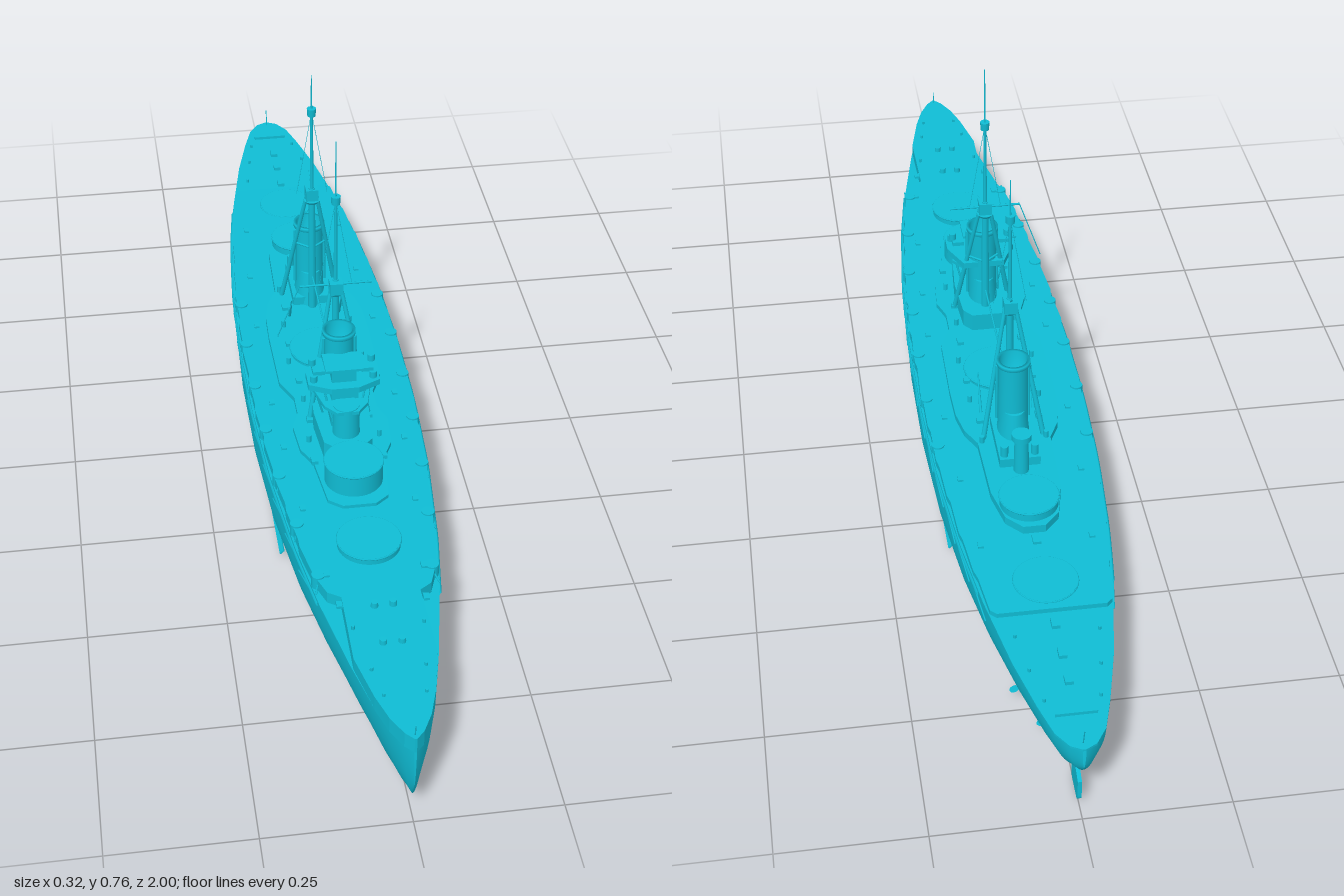
import * as THREE from 'three';

const mat = new THREE.MeshStandardMaterial({ color: 0x0fbcd4, side: THREE.DoubleSide });
const V = (x, y, z) => new THREE.Vector3(x, y, z);

// hull stations: z, half beam, keel height, section fullness
const STATIONS = [
  [1, 0.002, 0.085, 1.6], [0.985, 0.016, 0.05, 1.6], [0.95, 0.034, 0.034, 1.6], [0.9, 0.05, 0.022, 1.7],
  [0.8, 0.074, 0.014, 1.9], [0.65, 0.104, 0.006, 2.3], [0.5, 0.126, 0.002, 3], [0.3, 0.146, 0, 4],
  [0.1, 0.156, 0, 4.6], [-0.1, 0.157, 0, 4.6], [-0.3, 0.15, 0, 4], [-0.5, 0.133, 0.003, 3],
  [-0.65, 0.113, 0.014, 2.4], [-0.8, 0.085, 0.038, 2], [-0.9, 0.06, 0.062, 1.9],
  [-0.96, 0.042, 0.085, 1.9], [-0.99, 0.022, 0.105, 1.9], [-1, 0.003, 0.12, 1.9],
];
const DECK = 0.163;
const strakeTop = z => 0.179 + 0.01 * z;

function beam(z) {
  for (let i = 0; i < STATIONS.length - 1; i++) {
    const [a, b] = [STATIONS[i], STATIONS[i + 1]];
    if (z <= a[0] && z >= b[0]) return THREE.MathUtils.lerp(a[1], b[1], (a[0] - z) / (a[0] - b[0]));
  }
  return 0;
}

// superellipse cross-sections joined from bow to stern
function hullGeometry() {
  const N = 24, pos = [], idx = [];
  for (const [z, b, k, n] of STATIONS) {
    for (let j = 0; j <= N; j++) {
      const a = Math.PI * j / N, c = Math.cos(a), s = Math.max(0, Math.sin(a));
      pos.push(b * Math.sign(c) * Math.abs(c) ** (2 / n), DECK - (DECK - k) * s ** (2 / n), z);
    }
  }
  for (let i = 0; i < STATIONS.length - 1; i++) for (let j = 0; j < N; j++) {
    const p = i * (N + 1) + j, q = p + N + 1;
    idx.push(p, p + 1, q, q, p + 1, q + 1);
  }
  const g = new THREE.BufferGeometry();
  g.setAttribute('position', new THREE.Float32BufferAttribute(pos, 3));
  g.setIndex(idx);
  g.computeVertexNormals();
  return g;
}

// mirrored plan outline given as [z, half width], raised from y0 to y1
function plan(points, y0, y1) {
  const right = points.map(([z, x]) => new THREE.Vector2(x, -z));
  const left = points.map(([z, x]) => new THREE.Vector2(-x, -z)).reverse();
  const g = new THREE.ExtrudeGeometry(new THREE.Shape([...right, ...left]), { depth: y1 - y0, bevelEnabled: false });
  return g.rotateX(-Math.PI / 2).translate(0, y0, 0);
}

export function createModel() {
  const root = new THREE.Group();
  const add = (name, geo, x = 0, y = 0, z = 0) => {
    const m = new THREE.Mesh(geo, mat);
    m.name = name;
    m.position.set(x, y, z);
    root.add(m);
    return m;
  };
  const box = (name, w, h, d, x, y, z) => add(name, new THREE.BoxGeometry(w, h, d), x, y + h / 2, z);
  const drum = (name, r0, r1, y0, y1, x, z, n = 28) =>
    add(name, new THREE.CylinderGeometry(r1, r0, y1 - y0, n), x, (y0 + y1) / 2, z);
  const rod = (name, a, b, r0, r1 = r0) => {
    const d = b.clone().sub(a);
    const m = add(name, new THREE.CylinderGeometry(r1, r0, d.length(), 8));
    m.position.copy(a).addScaledVector(d, 0.5);
    m.quaternion.setFromUnitVectors(V(0, 1, 0), d.normalize());
  };

  // hull and main deck
  add('hull', hullGeometry());
  add('mainDeck', plan(STATIONS.map(([z, b]) => [z, b]), DECK - 0.004, DECK));

  // forecastle with recessed bow section and stepped casemate sides
  const edge = STATIONS.filter(s => s[0] > 0.8).map(s => [s[0], s[1]]);
  edge.push([0.81, 0.07], [0.66, 0.068], [0.645, 0.09]);
  for (let z = 0.6; z > -0.66; z -= 0.1) edge.push([z, beam(z) - 0.005], [z - 0.08, beam(z - 0.08) - 0.002]);
  edge.push([-0.69, 0.095]);
  const strake = plan(edge, DECK - 0.004, DECK + 0.02), sp = strake.attributes.position;
  for (let i = 0; i < sp.count; i++) if (sp.getY(i) > DECK) sp.setY(i, strakeTop(sp.getZ(i)));
  strake.computeVertexNormals();
  add('forecastle', strake);

  // net shelf along the sides, its booms, casemate guns and bilge keels
  for (const s of [-1, 1]) {
    const line = [];
    for (let z = 0.64; z >= -0.69; z -= 0.07) line.push(V(s * (beam(z) + 0.001), 0.156, z));
    add('netShelf', new THREE.TubeGeometry(new THREE.CatmullRomCurve3(line), 40, 0.003, 5));
    for (let z = 0.6; z > -0.62; z -= 0.1) {
      rod('netBoom', V(s * (beam(z) + 0.002), 0.155, z), V(s * (beam(z - 0.07) + 0.002), 0.138, z - 0.07), 0.0014);
    }
    for (const z of [0.6, 0.46, 0.32, 0.18, 0.04, -0.1, -0.24]) {
      const x = s * (beam(z) - 0.012);
      drum('casemate', 0.012, 0.012, DECK, strakeTop(z) + 0.003, x, z, 14);
      rod('casemateGun', V(x, 0.173, z), V(x + s * 0.008, 0.174, z + 0.035), 0.0022, 0.0015);
    }
    const keel = box('bilgeKeel', 0.01, 0.003, 0.7, s * 0.132, 0.022, 0);
    keel.rotation.z = -s * 0.8;
  }

  // midship shelter deck
  const shelter = [[0.43, 0.03], [0.41, 0.055], [0.3, 0.066], [0.26, 0.085], [0.19, 0.09], [0.15, 0.076], [0.1, 0.076],
    [0.05, 0.098], [-0.1, 0.1], [-0.17, 0.098], [-0.22, 0.088], [-0.26, 0.068], [-0.4, 0.064], [-0.47, 0.048], [-0.5, 0.02]];
  add('shelterDeck', plan(shelter, DECK, 0.19));

  // barbettes: z, radius, top
  for (const [z, r, top] of [[0.53, 0.056, 0.198], [0.355, 0.053, 0.234], [-0.045, 0.064, 0.199],
    [-0.435, 0.053, 0.208], [-0.62, 0.056, 0.175]]) {
    drum('barbette', r, r, 0.15, top, 0, z, 40);
    add('barbetteRim', new THREE.TorusGeometry(r, 0.0018, 6, 40).rotateX(Math.PI / 2), 0, top - 0.002, z);
  }

  // forward superstructure and bridge
  add('bridgeBase', plan([[0.31, 0.025], [0.29, 0.045], [0.2, 0.052], [0.11, 0.046], [0.09, 0.03]], 0.185, 0.226));
  drum('conningTower', 0.026, 0.024, 0.2, 0.288, 0, 0.262, 20);
  box('bridgeTower', 0.05, 0.08, 0.06, 0, 0.225, 0.215);
  add('lowerBridge', plan([[0.285, 0.02], [0.26, 0.04], [0.2, 0.055], [0.17, 0.03]], 0.279, 0.286));
  add('upperBridge', plan([[0.255, 0.025], [0.235, 0.066], [0.195, 0.066], [0.14, 0.04]], 0.306, 0.318));
  box('chartHouse', 0.045, 0.03, 0.04, 0, 0.318, 0.215);
  box('bridgeRoof', 0.07, 0.005, 0.055, 0, 0.345, 0.215);
  for (const s of [-1, 1]) {
    box('bridgeWing', 0.022, 0.008, 0.04, s * 0.045, 0.33, 0.205);
    for (const [y, z] of [[0.318, 0.225], [0.338, 0.2]]) drum('searchlight', 0.007, 0.007, y, y + 0.013, s * 0.055, z, 12);
    rod('bridgeStrut', V(s * 0.035, 0.225, 0.2), V(s * 0.055, 0.307, 0.21), 0.002);
    rod('bridgeStrut', V(s * 0.025, 0.25, 0.25), V(s * 0.038, 0.307, 0.24), 0.002);
  }

  // funnels with casing, rims and hollow tops
  for (const [z, top, casing] of [[0.165, 0.388, 0.275], [-0.243, 0.365, 0.26]]) {
    const taper = add('funnelCasing', new THREE.CylinderGeometry(0.034, 0.047, casing - 0.18, 24), 0, (casing + 0.18) / 2, z);
    taper.scale.x = 0.7;
    const profile = [[0.028, 0.22], [0.027, top - 0.008], [0.031, top - 0.008], [0.031, top], [0.025, top], [0.024, top - 0.05], [0, top - 0.05]];
    add('funnel', new THREE.LatheGeometry(profile.map(p => new THREE.Vector2(...p)), 28), 0, 0, z);
    for (const s of [-1, 1]) rod('steamPipe', V(s * 0.03, 0.23, z + 0.005), V(s * 0.029, top - 0.015, z + 0.005), 0.003);
  }

  // tripod masts: z, peak, direction of the raking legs
  for (const [z, peak, dir] of [[0.123, 0.76, 1], [-0.198, 0.72, -1]]) {
    rod('mainMast', V(0, 0.18, z), V(0, 0.47, z), 0.0085, 0.006);
    rod('topMast', V(0, 0.46, z), V(0, 0.64, z), 0.004, 0.0025);
    rod('mastPole', V(0, 0.64, z), V(0, peak, z), 0.0018, 0.0008);
    drum('lookout', 0.008, 0.009, 0.632, 0.648, 0, z, 12);
    box('spottingTop', 0.024, 0.024, 0.024, 0, 0.444, z + dir * 0.004);
    drum('topPlatform', 0.012, 0.016, 0.438, 0.444, 0, z, 16);
    for (const s of [-1, 1]) {
      rod('tripodLeg', V(s * 0.056, 0.19, z + dir * 0.05), V(s * 0.009, 0.455, z + dir * 0.004), 0.005, 0.0038);
      rod('tripodBrace', V(0, 0.33, z), V(s * 0.031, 0.33, z + dir * 0.026), 0.0022);
    }
    if (dir > 0) {
      rod('yard', V(-0.067, 0.459, z), V(0.067, 0.459, z), 0.0022);
      rod('signalHalyard', V(-0.067, 0.459, z), V(-0.107, 0.345, z - 0.01), 0.001);
    } else {
      rod('gaff', V(0, 0.46, z), V(0, 0.49, z - 0.035), 0.0014);
    }
    // stays
    for (const s of [-1, 1]) rod('stay', V(0, 0.64, z), V(s * 0.03, 0.46, z), 0.0005);
  }
  rod('boatBoom', V(0, 0.265, 0.12), V(0, 0.265, -0.198), 0.0018);

  // after superstructure and control tower
  box('afterHouse', 0.075, 0.02, 0.13, 0, 0.188, -0.27);
  drum('afterTower', 0.014, 0.013, 0.19, 0.262, 0, -0.345, 16);
  drum('afterTowerTop', 0.018, 0.018, 0.262, 0.274, 0, -0.345, 16);
  for (const s of [-1, 1]) {
    drum('afterSearchlight', 0.007, 0.007, 0.21, 0.232, s * 0.028, -0.325, 12);
    rod('boatCrane', V(s * 0.05, 0.19, -0.17), V(s * 0.05, 0.255, -0.13), 0.003, 0.0015);
  }

  // ventilators, hatches and skylights across the decks
  for (const s of [-1, 1]) {
    for (let i = 0; i < 10; i++) {
      const z = 0.3 - i * 0.062, y = 0.189;
      if (i % 2) drum('ventilator', 0.0045, 0.0045, y, y + 0.015, s * (0.06 + (i % 3) * 0.006), z, 10);
      else box('locker', 0.012, 0.008, 0.016, s * (0.064 - (i % 3) * 0.004), y, z);
    }
    for (const z of [0.68, 0.6, 0.42, 0.24, 0.1, -0.16, -0.34, -0.52]) {
      box('hatch', 0.01, 0.005, 0.014, s * beam(z) * 0.76, strakeTop(z) - 0.001, z);
    }
    for (const z of [0.78, 0.69]) drum('capstan', 0.007, 0.006, 0.18, 0.196, s * 0.016, z, 12);
    for (const z of [0.9, 0.84, 0.74]) drum('bollard', 0.003, 0.003, 0.18, 0.194, s * beam(z) * 0.7, z, 8);
    for (const z of [-0.74, -0.82, -0.89]) drum('bollard', 0.003, 0.003, DECK, DECK + 0.007, s * beam(z) * 0.75, z, 8);
  }
  for (const z of [-0.52, -0.72, -0.79, -0.85]) box('skylight', 0.014, 0.007, 0.02, 0, z > -0.6 ? 0.172 : DECK, z);
  box('breakwater', 0.07, 0.006, 0.003, 0, DECK, -0.925);
  rod('jackstaff', V(0, 0.185, 0.99), V(0, 0.213, 0.995), 0.001);
  rod('ensignStaff', V(0, 0.16, -0.985), V(0, 0.198, -0.995), 0.001);

  // twin rudders on the centreline
  for (const [z, l, y0] of [[-0.845, 0.05, 0.012], [-0.94, 0.062, 0.01]]) {
    const r = new THREE.Shape();
    r.moveTo(-l / 2, y0 + 0.012).quadraticCurveTo(-l / 2, y0, -l / 2 + 0.012, y0).lineTo(l / 2 - 0.01, y0 + 0.003);
    r.lineTo(l / 2, y0 + 0.05).lineTo(l / 5, y0 + 0.055).lineTo(l / 6, y0 + 0.085).lineTo(0, y0 + 0.085);
    r.lineTo(-l / 8, y0 + 0.055).lineTo(-l / 2, y0 + 0.045);
    const g = new THREE.ExtrudeGeometry(r, { depth: 0.007, bevelEnabled: false });
    add('rudder', g.translate(0, 0, -0.0035).rotateY(-Math.PI / 2), 0, 0, z);
  }

  // propeller shafts, brackets and screws
  for (const s of [-1, 1]) for (const [x, z, y] of [[0.028, -0.81, 0.034], [0.062, -0.73, 0.036]]) {
    rod('propellerShaft', V(s * x, y, z), V(s * x, y - 0.006, z + 0.2), 0.0035);
    rod('shaftBracket', V(s * x, y, z + 0.02), V(s * x * 0.85, y + 0.035, z + 0.02), 0.0025);
    for (let i = 0; i < 3; i++) {
      const a = i * Math.PI * 2 / 3;
      const blade = add('propellerBlade', new THREE.CircleGeometry(0.009, 12).scale(0.7, 1, 1),
        s * x - Math.sin(a) * 0.01, y + Math.cos(a) * 0.01, z);
      blade.rotation.set(0, 0.4 * s, a, 'ZYX');
    }
  }
  return root;
}
